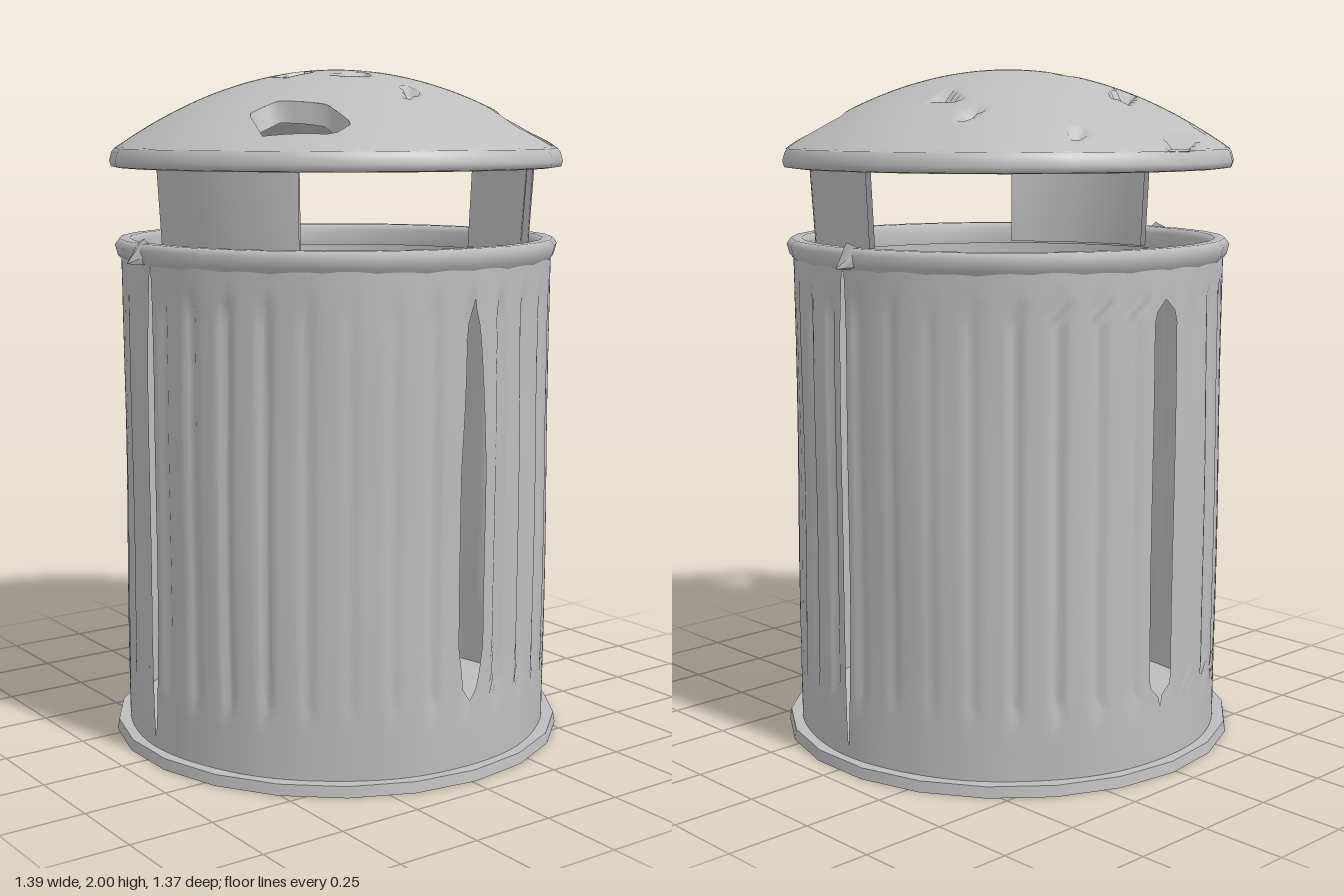
import * as THREE from 'three';

const steel = new THREE.MeshStandardMaterial({ color: 0xbdbdbd, side: THREE.DoubleSide });
steel.name = 'dull grey steel';

const CX = 0.012; // the battered can leans a touch to its left
const TAU = Math.PI * 2;

function add(parent, geometry, name) {
  const mesh = new THREE.Mesh(geometry, steel);
  mesh.name = name;
  parent.add(mesh);
  return mesh;
}

// Smooth surface from point(u, v) -> [x, y, z]; a fourth value marks points inside a hole
function sheet(nu, nv, point, closed = false) {
  const cols = closed ? nu : nu + 1;
  const pos = [], idx = [], inside = [];
  for (let j = 0; j <= nv; j++) {
    for (let i = 0; i < cols; i++) {
      const [x, y, z, cut] = point(i / nu, j / nv);
      pos.push(x, y, z);
      inside.push(!!cut);
    }
  }
  for (let j = 0; j < nv; j++) {
    for (let i = 0; i < nu; i++) {
      const k = (i + 1) % cols;
      const a = j * cols + i, b = j * cols + k, c = b + cols, d = a + cols;
      if ([a, b, c, d].every((n) => inside[n])) continue;
      idx.push(a, b, c, a, c, d);
    }
  }
  const g = new THREE.BufferGeometry();
  g.setAttribute('position', new THREE.Float32BufferAttribute(pos, 3));
  g.setIndex(idx);
  g.computeVertexNormals();
  return g;
}

// Convex polygon in the x-z plane; reach(x, z) is below 1 inside and 1 on the outline
function outline(points) {
  const n = points.length;
  const cx = points.reduce((s, p) => s + p[0], 0) / n;
  const cz = points.reduce((s, p) => s + p[1], 0) / n;
  const reach = (x, z) => Math.max(...points.map((p, i) => {
    const q = points[(i + 1) % n];
    const nx = q[1] - p[1], nz = p[0] - q[0];
    return (nx * (x - cx) + nz * (z - cz)) / (nx * (p[0] - cx) + nz * (p[1] - cz));
  }));
  return { points, cx, cz, reach };
}

const lidHoles = [
  [[-0.45, 0.22], [-0.36, 0.23], [-0.28, 0.35], [-0.28, 0.47], [-0.35, 0.48], [-0.49, 0.35]],
  [[0.29, 0.35], [0.46, 0.22], [0.52, 0.29], [0.50, 0.38], [0.41, 0.51], [0.29, 0.48]],
].map(outline);

const lidDents = [
  [[-0.20, -0.33], [-0.06, -0.43], [-0.02, -0.39], [-0.15, -0.31]],
  [[-0.20, -0.58], [-0.08, -0.64], [0.01, -0.65], [-0.03, -0.60]],
  [[-0.16, -0.10], [-0.12, -0.18], [-0.04, -0.17], [-0.07, -0.08]],
  [[-0.21, 0.06], [-0.20, -0.02], [-0.11, -0.02], [-0.13, 0.06]],
  [[-0.12, 0.14], [-0.01, 0.15], [-0.02, 0.20], [-0.10, 0.18]],
  [[-0.05, 0.41], [0.01, 0.30], [0.03, 0.37]],
  [[0.01, 0.04], [0.08, 0.03], [0.06, 0.13]],
  [[0.34, -0.10], [0.38, -0.20], [0.40, -0.13]],
  [[0.36, -0.30], [0.44, -0.28], [0.41, -0.25]],
  [[0.24, -0.57], [0.28, -0.52], [0.25, -0.48]],
  [[-0.35, -0.47], [-0.27, -0.51], [-0.29, -0.46]],
].map(outline);

const domeHeight = (x, z) => 1.77 + 0.23 * (1 - (x * x + z * z) / (0.66 * 0.66));

function makeLid() {
  const lid = new THREE.Group();
  lid.name = 'lid';

  // Dome, with grid points inside a hole pulled to its edge
  add(lid, sheet(140, 40, (u, v) => {
    const r = 0.66 * (1 - v * 0.9999), t = u * TAU;
    let x = r * Math.sin(t), z = r * Math.cos(t), cut = false;
    for (const h of lidHoles) {
      const d = h.reach(x, z);
      if (d < 1) {
        x = h.cx + (x - h.cx) / Math.max(d, 0.01);
        z = h.cz + (z - h.cz) / Math.max(d, 0.01);
        cut = true;
      }
    }
    const sunk = lidDents.some((p) => p.reach(x, z) < 1) ? 0.025 : 0;
    return [x, domeHeight(x, z) - sunk, z, cut];
  }, true), 'lidDome');

  // Torn metal folded down around each hole
  for (const h of lidHoles) {
    const n = h.points.length, steps = n * 3;
    add(lid, sheet(steps, 2, (u, v) => {
      const s = Math.round(u * steps), i = Math.floor(s / 3) % n, f = (s % 3) / 3;
      const p = h.points[i], q = h.points[(i + 1) % n];
      const x = p[0] + (q[0] - p[0]) * f, z = p[1] + (q[1] - p[1]) * f;
      const k = 1 - 0.1 * v;
      return [h.cx + (x - h.cx) * k, domeHeight(x, z) - 0.06 * v, h.cz + (z - h.cz) * k];
    }, true), 'lidHoleEdge');
  }

  // Rolled edge
  const lip = [[0.62, 1.735], [0.65, 1.715], [0.67, 1.718], [0.675, 1.735], [0.668, 1.76], [0.655, 1.775]];
  add(lid, new THREE.LatheGeometry(lip.map((p) => new THREE.Vector2(...p)), 24), 'lidEdge');
  return lid;
}

// Slits down the wall: angle, half width in radians, bottom, top, length of the end tapers
const slits = [
  { at: 0.02, half: 0.068, low: 0.23, high: 1.34, lowTaper: 0.15, highTaper: 0.45 },
  { at: Math.PI / 2 + 0.005, half: 0.02, low: 0.08, high: 1.46, lowTaper: 0.4, highTaper: 0.2 },
  { at: Math.PI - 0.02, half: 0.068, low: 0.22, high: 1.36, lowTaper: 0.04, highTaper: 0.04 },
  { at: Math.PI * 1.5 - 0.005, half: 0.025, low: 0.08, high: 1.44, lowTaper: 0.3, highTaper: 0.3 },
];

function slitHalf(s, y) {
  const ramp = Math.min((y - s.low) / s.lowTaper, (s.high - y) / s.highTaper, 1);
  return s.half * Math.sqrt(Math.max(0, ramp));
}

function wallRadius(t, y) {
  const fluted = THREE.MathUtils.smoothstep(y, 0.17, 0.26) * (1 - THREE.MathUtils.smoothstep(y, 1.32, 1.4));
  const groove = Math.pow(Math.max(0, Math.cos(34 * t)), 3) * (0.65 + 0.35 * Math.sin(5 * t + 1));
  const dent = 0.003 * Math.sin(7 * t + 4 * y) * Math.sin(3 * t - 2 * y);
  return 0.643 - 0.016 * fluted * groove + dent;
}

function makeCan() {
  const can = new THREE.Group();
  can.name = 'can';

  // Four fluted wall panels, one between each pair of slits
  slits.forEach((s, k) => {
    const next = slits[(k + 1) % 4];
    const nextAt = next.at + (k === 3 ? TAU : 0);
    add(can, sheet(70, 44, (u, v) => {
      const y = 0.025 + 1.44 * v;
      const t = THREE.MathUtils.lerp(s.at + slitHalf(s, y), nextAt - slitHalf(next, y), u);
      const r = wallRadius(t, y);
      return [r * Math.sin(t), y, r * Math.cos(t)];
    }), 'wallPanel');
  });

  // Base plate
  const base = add(can, new THREE.CylinderGeometry(0.68, 0.685, 0.032, 22), 'basePlate');
  base.position.y = 0.016;

  // Rolled top rim
  const rim = [[0.61, 1.44], [0.605, 1.49], [0.62, 1.508], [0.65, 1.508], [0.663, 1.49], [0.655, 1.46], [0.638, 1.44]];
  add(can, new THREE.LatheGeometry(rim.map((p) => new THREE.Vector2(...p)), 28), 'topRim');

  // Bent ears at both sides of the rim
  for (const side of [-1, 1]) {
    const ear = add(can, new THREE.ConeGeometry(0.045, 0.075, 5), 'rimEar');
    ear.position.set(side * 0.66, 1.468, -0.04);
    ear.rotation.z = -side * 2;
  }
  return can;
}

// Curved strap, outer and inner faces with closed edges, holding up the lid
function makeBracket(side) {
  const section = [[0.575, 0], [0.575, 1], [0.555, 1], [0.555, 0]];
  return sheet(14, 4, (u, v) => {
    const t = side * THREE.MathUtils.lerp(0.79, 1.65, u);
    const [r, h] = section[Math.round(v * 4) % 4];
    const rr = r + 0.02 * h;
    return [rr * Math.sin(t), 1.45 + 0.33 * h, rr * Math.cos(t)];
  });
}

export function createModel() {
  const bin = new THREE.Group();
  bin.name = 'litterBin';
  bin.add(makeCan(), makeLid());
  add(bin, makeBracket(1), 'leftBracket');
  add(bin, makeBracket(-1), 'rightBracket');
  bin.children.forEach((part) => { part.position.x = CX; });
  return bin;
}
